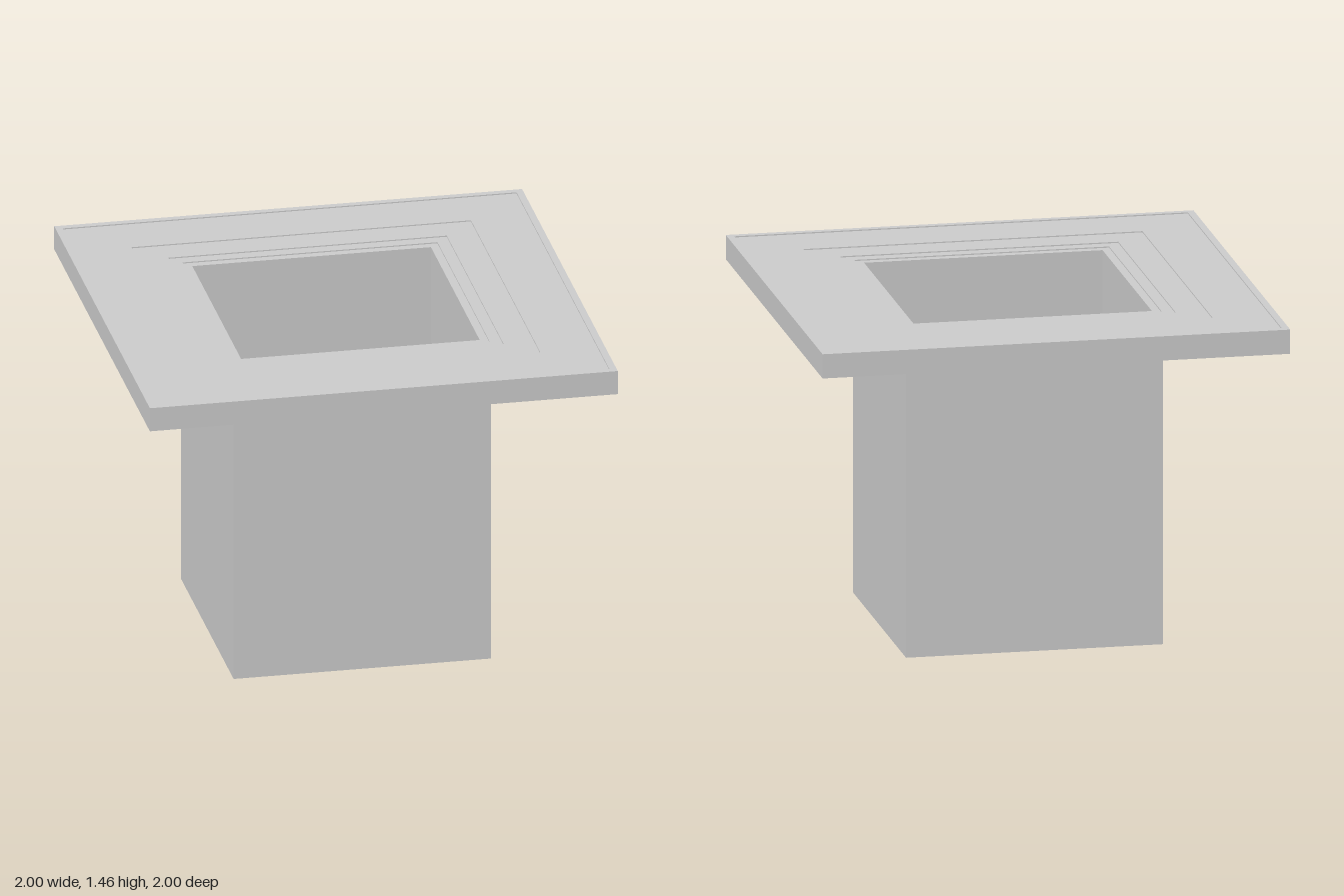
import * as THREE from 'three';

const material = new THREE.MeshStandardMaterial({ color: 0xcccccc, flatShading: true });

// Sweeps a profile of [half width, height] points around a square.
function squareSweep(name, profile) {
  const points = profile.map(([half, y]) => new THREE.Vector2(half * Math.SQRT2, y));
  const geometry = new THREE.LatheGeometry(points, 4, Math.PI / 4).toNonIndexed();
  geometry.computeVertexNormals();
  const mesh = new THREE.Mesh(geometry, material);
  mesh.name = name;
  return mesh;
}

export function createModel() {
  const model = new THREE.Group();
  model.name = 'flangedSquareDuct';

  const bore = 0.51, wall = 0.55;
  const flangeBottom = 1.35, flangeTop = 1.455, boreTop = 1.435;

  // Square tube: outer walls with the bottom edge, then the bore
  model.add(squareSweep('ductOuterWall', [[bore, 0], [wall, 0], [wall, flangeBottom]]));
  model.add(squareSweep('ductInnerWall', [[bore, boreTop], [bore, 0]]));

  // Flange whose top steps down slightly towards the opening
  const profile = [[wall, flangeBottom], [1, flangeBottom], [1, flangeTop]];
  let y = flangeTop;
  for (const half of [0.97, 0.725, 0.595, 0.545]) {
    profile.push([half, y]);
    y -= 0.005;
    profile.push([half, y]);
  }
  profile.push([bore, boreTop]);
  model.add(squareSweep('flange', profile));

  return model;
}
